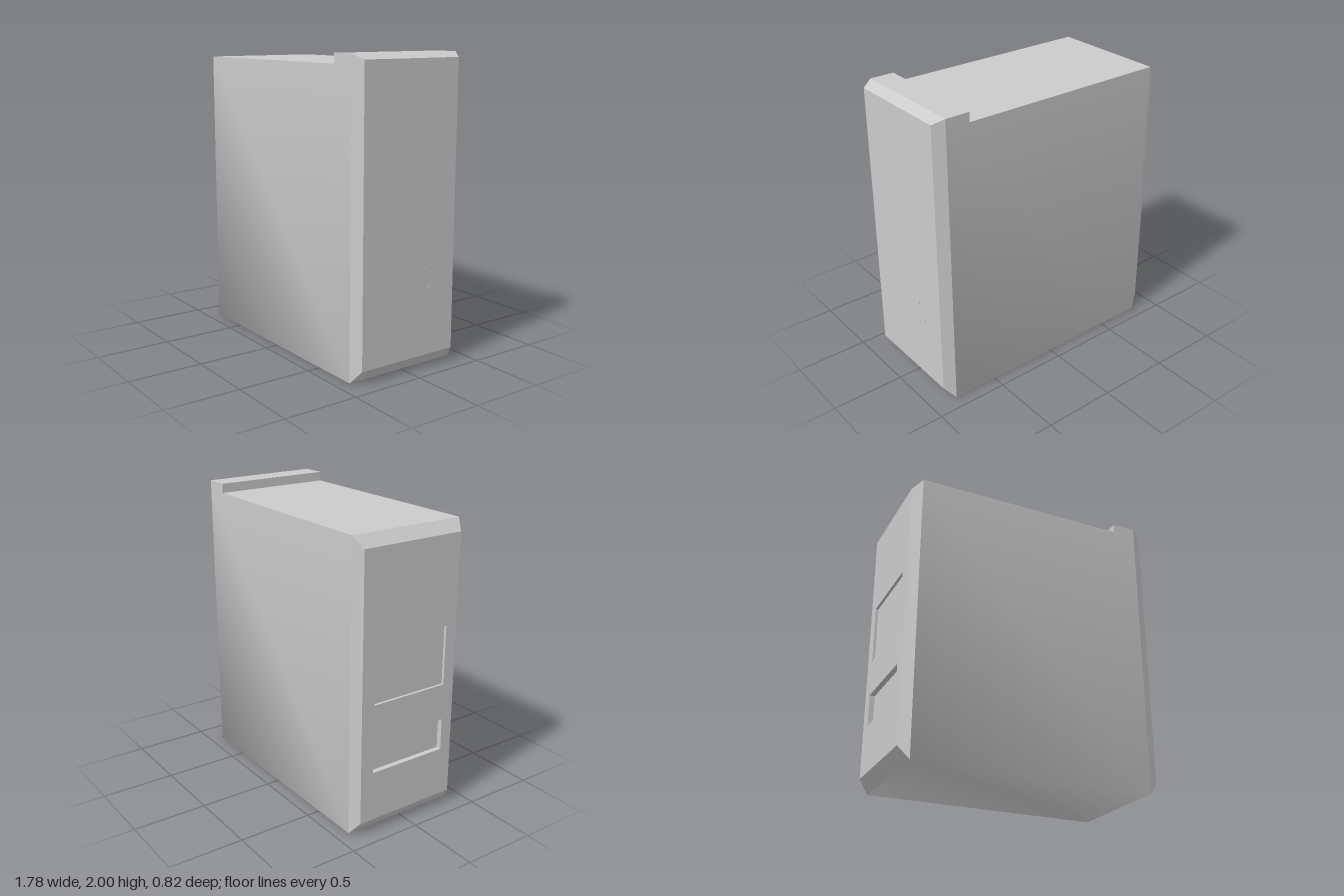
import * as THREE from 'three';
import { toCreasedNormals } from 'three/addons/utils/BufferGeometryUtils.js';

const material = new THREE.MeshStandardMaterial({ color: 0xcccccc });
const HALF = 0.408;   // half depth of the case
const TOP = 1.937;    // height of the main case
const REAR = -0.825, FRONT = 0.815;

// Joins rectangular cross-sections [x, yBottom, yTop, halfDepth], listed from low to high x.
// sides: 0 bottom, 1 back, 2 top, 3 front
function loft(sections, { sides = [0, 1, 2, 3], capLow = false, capHigh = false } = {}) {
  const points = [], index = [];
  for (const [x, y0, y1, z] of sections) points.push(x, y0, z, x, y0, -z, x, y1, -z, x, y1, z);
  for (let s = 0; s < sections.length - 1; s++) {
    for (const i of sides) {
      const a = s * 4 + i, b = s * 4 + (i + 1) % 4;
      index.push(a, b, b + 4, a, b + 4, a + 4);
    }
  }
  const e = (sections.length - 1) * 4;
  if (capLow) index.push(0, 2, 1, 0, 3, 2);
  if (capHigh) index.push(e, e + 1, e + 2, e, e + 2, e + 3);
  const geometry = new THREE.BufferGeometry();
  geometry.setAttribute('position', new THREE.Float32BufferAttribute(points, 3));
  geometry.setIndex(index);
  geometry.computeVertexNormals();
  return geometry;
}

function rectangle(path, z0, z1, y0, y1) {
  path.moveTo(z0, y0);
  path.lineTo(z1, y0);
  path.lineTo(z1, y1);
  path.lineTo(z0, y1);
  path.closePath();
  return path;
}

export function createModel() {
  const group = new THREE.Group();
  const add = (name, geometry, x = 0, y = 0, z = 0) => {
    const mesh = new THREE.Mesh(geometry, material);
    mesh.name = name;
    mesh.position.set(x, y, z);
    group.add(mesh);
    return mesh;
  };

  // Wrap-around cover with softly shaded bottom edges, and a flat top
  add('caseCover', loft([[REAR, 0, TOP, HALF], [FRONT, 0, TOP, HALF]], { sides: [0, 1, 3] }));
  add('caseTop', new THREE.PlaneGeometry(FRONT - REAR, HALF * 2).rotateX(-Math.PI / 2),
    (FRONT + REAR) / 2, TOP, 0);

  // Bevelled front bezel with its lip hooking over the top
  add('frontBezel', toCreasedNormals(loft(
    [[FRONT, 0, 2, HALF], [0.888, 0.087, 1.967, 0.367]], { capLow: true, capHigh: true }), 0.4));
  add('topLip', toCreasedNormals(loft(
    [[0.65, TOP, 2, HALF], [FRONT, TOP, 2, HALF]], { capLow: true }), 0.4));

  // Two small buttons on the bezel
  for (const [y, z] of [[0.65, -0.12], [0.535, -0.175]]) {
    add('button', new THREE.BoxGeometry(0.01, 0.03, 0.03), 0.886, y, z);
  }

  // Bevelled rear frame
  add('rearFrame', toCreasedNormals(loft(
    [[-0.893, 0.087, 1.865, 0.367], [REAR, 0, TOP, HALF]]), 0.4));

  // Rear plate with two shallow openings and their floors
  const plate = rectangle(new THREE.Shape(), -0.367, 0.367, 0.087, 1.865);
  const openings = [
    { y0: 0.88, y1: 1.28, depth: 0.018 },
    { y0: 0.42, y1: 0.635, depth: 0.035 },
  ];
  for (const { y0, y1, depth } of openings) {
    plate.holes.push(rectangle(new THREE.Path(), -0.275, 0.285, y0, y1));
    add('openingFloor', new THREE.BoxGeometry(0.03, y1 - y0, 0.56),
      -0.893 + depth + 0.015, (y0 + y1) / 2, 0.005);
  }
  add('rearPlate', new THREE.ExtrudeGeometry(plate, { depth: 0.04, bevelEnabled: false })
    .rotateY(-Math.PI / 2), -0.853);

  return group;
}
